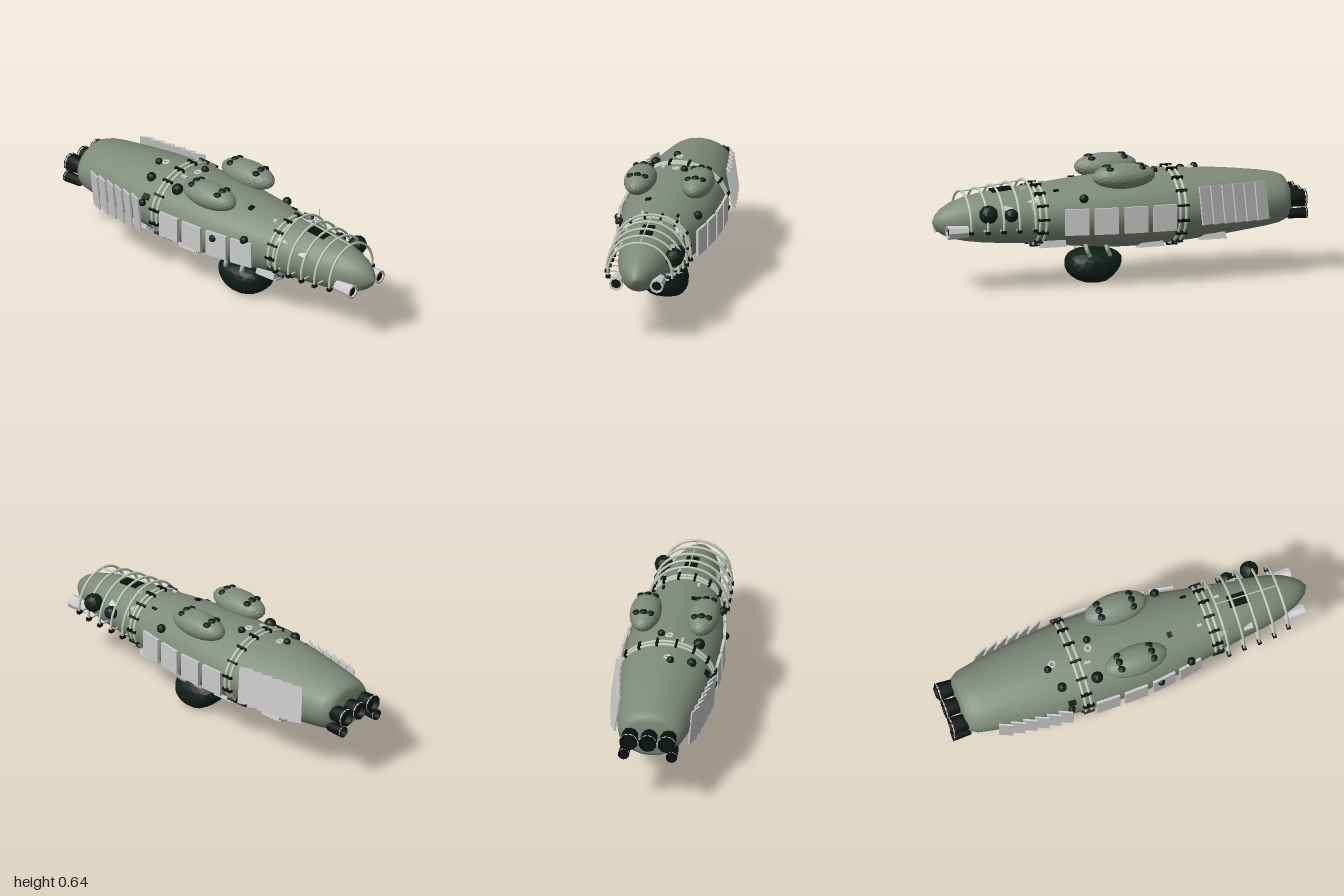
import * as THREE from 'three';
import { mergeVertices } from 'three/addons/utils/BufferGeometryUtils.js';

const mat = (color, flatShading = false) =>
  new THREE.MeshStandardMaterial({ color, flatShading, side: THREE.DoubleSide });
const V = (x, y, z) => new THREE.Vector3(x, y, z);

// hull stations: z, half width, bottom y, top y
const STATIONS = [
  [-0.92, 0.125, 0.285, 0.475], [-0.905, 0.15, 0.265, 0.5], [-0.87, 0.172, 0.252, 0.515],
  [-0.8, 0.186, 0.24, 0.528], [-0.65, 0.21, 0.222, 0.547], [-0.5, 0.23, 0.205, 0.562],
  [-0.3, 0.248, 0.19, 0.573], [-0.1, 0.25, 0.18, 0.573], [0.05, 0.246, 0.182, 0.566],
  [0.25, 0.22, 0.2, 0.55], [0.45, 0.18, 0.225, 0.53], [0.6, 0.155, 0.234, 0.52],
  [0.72, 0.138, 0.242, 0.507], [0.82, 0.117, 0.256, 0.488], [0.9, 0.09, 0.275, 0.462],
  [0.95, 0.06, 0.3, 0.434], [0.98, 0.035, 0.325, 0.405], [1, 0.001, 0.364, 0.366],
];

function section(z) {
  let i = 0;
  while (i < STATIONS.length - 2 && STATIONS[i + 1][0] < z) i++;
  const a = STATIONS[i], b = STATIONS[i + 1];
  const t = THREE.MathUtils.clamp((z - a[0]) / (b[0] - a[0]), 0, 1);
  const [w, lo, hi] = [1, 2, 3].map(k => a[k] + (b[k] - a[k]) * t);
  return { w, c: (lo + hi) / 2, h: (hi - lo) / 2 };
}

// point on the hull; angle 0 is the top, positive towards +x
function onHull(z, a, off = 0) {
  const { w, c, h } = section(z);
  return V((w + off) * Math.sin(a), c + (h + off) * Math.cos(a), z);
}

// point on the hull's upper or lower side above a given x
function atX(z, x, top = true) {
  const s = Math.asin(THREE.MathUtils.clamp(x / section(z).w, -1, 1));
  return onHull(z, top ? s : Math.PI - s);
}

export function createModel() {
  const model = new THREE.Group();
  const green = mat(0x7f8b7b), greenFlat = mat(0x7f8b7b, true);
  const dark = mat(0x0e1d17, true), black = mat(0x0b110e), light = mat(0xcccccc, true);
  const pale = mat(0xc3cdbd);

  const add = (name, geo, material, pos, rot = [0, 0, 0], parent = model) => {
    const m = new THREE.Mesh(geo, material);
    m.name = name;
    m.position.copy(pos);
    m.rotation.set(...rot);
    parent.add(m);
    return m;
  };
  const box = (x, y, z) => new THREE.BoxGeometry(x, y, z);
  const tube = (name, pts, r, material, closed = false, n = 40) =>
    add(name, new THREE.TubeGeometry(new THREE.CatmullRomCurve3(pts, closed), n, r, 6, closed), material, V(0, 0, 0));

  // hull: a unit lathe whose rings are fitted to the stations
  const profile = [new THREE.Vector2(0, -0.92), ...STATIONS.map(s => new THREE.Vector2(1, s[0]))];
  let hull = new THREE.LatheGeometry(profile, 20);
  const p = hull.attributes.position;
  for (let i = 0; i < p.count; i++) {
    const z = p.getY(i), { w, c, h } = section(z);
    p.setXYZ(i, p.getZ(i) * w, c + p.getX(i) * h, z);
  }
  hull.deleteAttribute('uv');
  hull.deleteAttribute('normal');
  hull = mergeVertices(hull, 1e-5);
  hull.computeVertexNormals();
  add('hull', hull, green, V(0, 0, 0));

  // two collars with clamps
  for (const [z, count] of [[0.45, 14], [-0.29, 16]]) {
    for (const dz of [-0.016, 0.016]) {
      const ring = Array.from({ length: 32 }, (_, i) => onHull(z + dz, i / 32 * Math.PI * 2, 0.003));
      tube('collarRing', ring, 0.008, pale, true, 64);
    }
    for (let i = 0; i < count; i++) {
      const a = (i + 0.5) / count * Math.PI * 2, { w, h } = section(z);
      const tilt = -Math.atan2(Math.sin(a) / w, Math.cos(a) / h);
      add('collarClamp', box(0.012, 0.018, 0.06), black, onHull(z, a, 0.008), [0, 0, tilt]);
    }
  }

  // cockpit cage hoops, their feet and the top rail
  const rail = [];
  for (let i = 0; i < 5; i++) {
    const z = 0.84 - i * 0.085, half = [0.17, 0.19, 0.197, 0.2, 0.205][i], rise = 0.17 + i * 0.01;
    const pts = [];
    for (let k = 0; k <= 16; k++) {
      const a = (k / 8 - 1) * 1.68;
      pts.push(V(half * Math.sin(a), 0.35 + rise * Math.cos(a), z));
    }
    tube('cageHoop', pts, 0.007, pale);
    rail.push(V(0, 0.35 + rise, z));
    for (const s of [-1, 1]) {
      add('hoopFoot', box(0.026, 0.016, 0.02), black, V(s * half * 0.985, 0.328, z));
      const inner = section(z).w * 0.9;
      add('hoopStay', box(half - inner, 0.008, 0.008), pale, V(s * (half + inner) / 2, 0.328, z));
    }
  }
  tube('cageRail', rail, 0.004, pale);

  // cockpit hatch and side fittings
  add('hatch', box(0.065, 0.012, 0.11), black, atX(0.625, 0), [0.08, 0, 0]);
  for (const s of [-1, 1]) {
    add('cockpitFairing', new THREE.ConeGeometry(0.028, 0.06, 8), pale, V(s * 0.13, 0.465, 0.5), [Math.PI / 2, 0, 0]);
    add('cockpitBlock', box(0.04, 0.018, 0.05), light, V(s * 0.125, 0.44, 0.63), [0, 0, -s * 0.7]);
  }
  add('antenna', new THREE.CylinderGeometry(0.002, 0.002, 0.1, 5), light, V(0.145, 0.5, 0.5));
  add('antennaBase', box(0.012, 0.07, 0.012), light, V(0.155, 0.455, 0.5));

  // open barrel: outer wall, rim and dark bore
  const barrel = (name, x, y, z0, z1, r, sides, wall, dir, outer) => {
    const len = z1 - z0, g = new THREE.Group();
    g.name = name;
    const shell = [[r * 0.85, -len / 2], [r, len / 2], [r * 0.74, len / 2], [r * 0.7, -len * 0.2]]
      .map(q => new THREE.Vector2(...q));
    add('casing', new THREE.LatheGeometry(shell, sides), outer, V(0, 0, 0), [0, 0, 0], g);
    add('bore', new THREE.CylinderGeometry(r * 0.72, r * 0.72, 0.004, sides), black, V(0, len / 2 - wall, 0), [0, 0, 0], g);
    g.position.set(x, y, (z0 + z1) / 2);
    g.rotation.x = dir * Math.PI / 2;
    model.add(g);
  };
  for (const s of [-1, 1]) barrel('noseGun', s * 0.107, 0.326, 0.84, 0.95, 0.037, 8, 0.012, 1, light);

  // engine nozzles
  const nozzle = (x, y, r) => {
    barrel('engineNozzle', x, y, -1, -0.9, r, 10, 0.03, -1, black);
    add('nozzleRim', new THREE.TorusGeometry(r * 0.88, r * 0.14, 5, 14), light, V(x, y, -0.993));
  };
  for (const x of [-0.1, 0, 0.1]) nozzle(x, 0.39, 0.048);
  for (const s of [-1, 1]) nozzle(s * 0.125, 0.316, 0.03);

  // upper domes with clustered lenses
  for (const s of [-1, 1]) {
    const dome = add('dome', new THREE.IcosahedronGeometry(1, 3), greenFlat, V(s * 0.152, 0.577, 0.005));
    dome.scale.set(0.082, 0.067, 0.17);
    for (const z of [-0.085, 0.09]) for (const k of [-1, 0, 1]) {
      const lens = add('domeLens', new THREE.IcosahedronGeometry(0.021, 1), dark,
        V(s * 0.152 + k * 0.036, 0.63 - Math.abs(k) * 0.008, z));
      lens.scale.y = 0.6;
    }
  }

  // underslung pod: rounded lump with a flattened base
  const pod = new THREE.IcosahedronGeometry(1, 3), q = pod.attributes.position;
  const soft = v => Math.sign(v) * Math.pow(Math.abs(v), 0.82);
  for (let i = 0; i < q.count; i++) {
    const x = soft(q.getX(i)), y = soft(q.getY(i)), z = soft(q.getZ(i));
    const lift = z < 0 ? 0.035 * z * z : 0.01 * z * z;
    q.setXYZ(i, x * 0.118 - y * 0.012, Math.max(0.003, 0.088 + y * 0.092 + lift * (1 - y)), 0.122 + z * 0.148);
  }
  pod.computeVertexNormals();
  add('pod', pod, dark, V(0, 0, 0));
  for (const s of [-1, 1]) for (const z of [0.06, 0.17])
    tube('podStrut', [V(s * 0.11, 0.225, z + 0.03), V(s * 0.112, 0.185, z + 0.02), V(s * 0.09, 0.155, z), V(s * 0.05, 0.14, z - 0.01)], 0.011, pale, false, 12);

  // flat side panels, rear louvres and belly boxes
  for (const s of [-1, 1]) {
    for (const z of [0.28, 0.128, -0.03, -0.185]) {
      const slope = (section(z + 0.06).w - section(z - 0.06).w) / 0.12;
      add('sidePanel', box(0.014, 0.138, 0.126), light, V(s * (section(z).w + 0.006), 0.362, z), [0, s * Math.atan(slope), 0]);
    }
    for (let i = 0; i < 6; i++) {
      const z = -0.415 - i * 0.063;
      const y = s > 0 ? 0.412 : 0.36, lean = s > 0 ? 0.14 : 0.1;
      add('louvre', box(0.009, 0.2, 0.075), light, V(s * (section(z).w + 0.008), y, z), [0, s * 0.42, lean]);
    }
    for (const [z, y] of [[0.375, 0.233], [-0.155, 0.203], [-0.495, 0.222]]) {
      add('bellyBox', box(0.075, 0.035, 0.12), light, V(s * 0.105, y, z), [0, 0, s * 0.2]);
      add('bellyPlate', box(0.06, 0.01, 0.135), light, V(s * 0.108, y - 0.014, z), [0, 0, s * 0.2]);
    }
  }

  // dark sensor lumps: x, y, z, radius
  const lumps = [
    [0.163, 0.42, 0.745, 0.05], [0.163, 0.408, 0.62, 0.036], [0.193, 0.478, 0.235, 0.024],
    [-0.21, 0.437, 0.29, 0.023], [-0.25, 0.4, 0.11, 0.02], [-0.24, 0.43, -0.38, 0.02],
  ];
  for (const [x, z, r] of [[-0.145, -0.4, 0.026], [-0.04, -0.44, 0.02], [-0.157, -0.21, 0.032], [0.042, -0.195, 0.02]])
    lumps.push([x, atX(z, x).y + 0.004, z, r]);
  for (const [x, y, z, r] of lumps)
    add('sensorLump', new THREE.IcosahedronGeometry(r, 1), dark, V(x, y, z));

  // small fittings along the back
  for (const [x, z] of [[-0.02, -0.41], [-0.003, -0.205]])
    add('portRing', new THREE.TorusGeometry(0.016, 0.006, 6, 10), light, atX(z, x), [Math.PI / 2, 0, 0]);
  for (const [x, z, w, d] of [[-0.07, 0.22, 0.03, 0.025], [0.11, 0.36, 0.012, 0.03], [-0.22, -0.37, 0.03, 0.04]])
    add('smallHatch', box(w, 0.014, d), black, atX(z, x), [0, 0, -x * 3]);
  for (const [x, z, d] of [[-0.075, -0.235, 0.035], [-0.07, 0.385, 0.025], [0.05, 0.52, 0.03]])
    add('smallBlock', box(0.014, 0.016, d), light, atX(z, x));
  return model;
}
